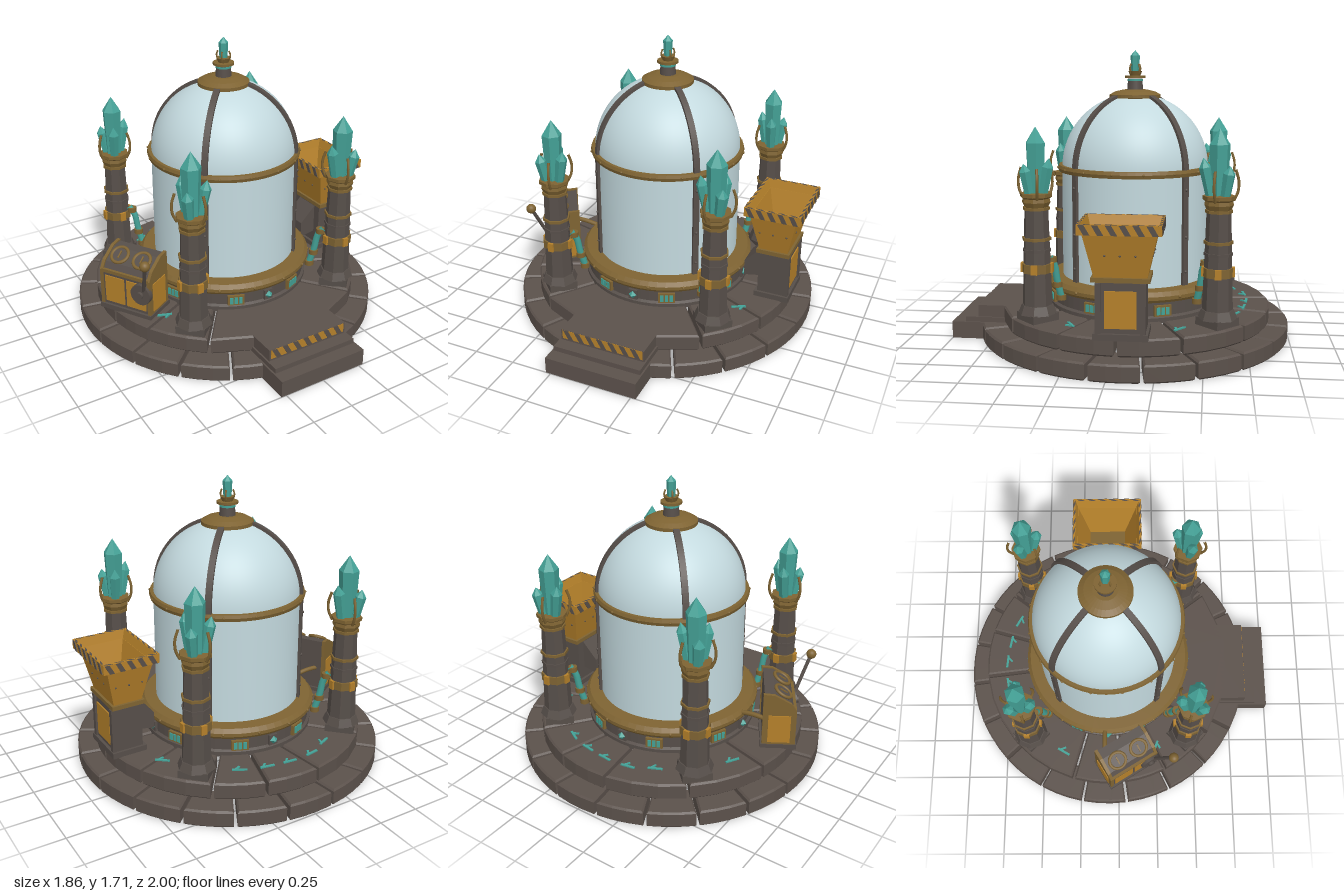
import * as THREE from 'three';

const V = (x, y, z) => new THREE.Vector3(x, y, z);
const mat = (name, color) => { const m = new THREE.MeshStandardMaterial({ color }); m.name = name; return m; };
const DEG = Math.PI / 180, CZ = -0.07;

export function createModel() {
  const stone = mat('stone', 0x5b514b), iron = mat('darkIron', 0x564e49), brass = mat('brass', 0x7e6332);
  const yellow = mat('yellowPaint', 0xb4802a), teal = mat('tealCrystal', 0x44a196), glass = mat('paleGlass', 0xc3d9de);
  stone.side = THREE.DoubleSide;

  const root = new THREE.Group();
  root.name = 'crystalChamber';
  const group = (name, parent, x = 0, y = 0, z = 0, ry = 0) => {
    const g = new THREE.Group();
    g.name = name; g.position.set(x, y, z); g.rotation.y = ry;
    parent.add(g);
    return g;
  };
  const add = (name, parent, geo, m, x = 0, y = 0, z = 0) => {
    const mesh = new THREE.Mesh(geo, m);
    mesh.name = name; mesh.position.set(x, y, z);
    parent.add(mesh);
    return mesh;
  };
  const flat = (g) => { const n = g.index ? g.toNonIndexed() : g; n.computeVertexNormals(); return n; };
  const box = (w, h, d) => new THREE.BoxGeometry(w, h, d);
  const cyl = (rt, rb, h, n = 24) => { const g = new THREE.CylinderGeometry(rt, rb, h, n); return n < 10 ? flat(g) : g; };
  const lathe = (pts, n = 64) => flat(new THREE.LatheGeometry(pts.map(p => new THREE.Vector2(...p)), n));
  const tube = (pts, r, n = 10) => new THREE.TubeGeometry(new THREE.CatmullRomCurve3(pts), n, r, 8);
  const crystal = (r, h) => lathe([[0, 0], [r * 0.8, 0], [r, h * 0.76], [0, h]], 6);
  const outline = (pts) => new THREE.Shape(pts.map(p => new THREE.Vector2(...p)));

  const center = group('chamber', root, 0, 0, CZ);
  // group placed around the chamber axis, its local +z pointing outwards
  const around = (name, a, r, y = 0) => group(name, center, r * Math.sin(a), y, r * Math.cos(a), a);

  // ---- Stone floor: two rings of bevelled slabs, open underneath; angles in degrees from the back
  const slab = (name, a0, a1, r0, r1, y, h) => {
    const pts = [], bev = 0.01, gap = 0.019, n = 3;
    for (const [r, dir] of [[r1 - bev, 1], [r0 + bev, -1]]) {
      const g = gap / r, s = a0 * DEG + g, e = a1 * DEG - g;
      for (let i = 0; i <= n; i++) {
        const t = dir > 0 ? i / n : 1 - i / n, a = s + (e - s) * t;
        pts.push([r * Math.sin(a), r * Math.cos(a)]);
      }
    }
    const g = new THREE.ExtrudeGeometry(outline(pts), { depth: h - 2 * bev, bevelSize: bev, bevelThickness: bev, bevelSegments: 1 });
    const p = g.attributes.position.array, kept = [];
    for (let i = 0; i < p.length; i += 9) {
      if (Math.max(p[i + 2], p[i + 5], p[i + 8]) > -bev + 1e-5) kept.push(...p.slice(i, i + 9));
    }
    const shell = new THREE.BufferGeometry();
    shell.setAttribute('position', new THREE.Float32BufferAttribute(kept, 3));
    add(name, center, flat(shell).rotateX(-Math.PI / 2), stone, 0, y + bev, 0);
  };
  for (let i = 0; i < 20; i++) slab('lowerSlab', -7.5 + 18 * i, 10.5 + 18 * i, 0.72, 0.928, 0, 0.1);
  const joints = [-7, 16, 37, 67, 92, 115, 143, 217, 243, 263, 286, 319, 353];
  joints.slice(0, -1).forEach((a, i) => slab('upperSlab', a, joints[i + 1], a === 217 ? 0.07 : 0.49, 0.815, 0.1, 0.1));

  // ---- Front steps with a striped warning plate
  add('upperLanding', root, box(0.52, 0.07, 0.3), stone, 0, 0.165, 0.695);
  add('middleStep', root, box(0.54, 0.06, 0.25), stone, 0, 0.1, 0.795);
  add('lowerStep', root, box(0.56, 0.1, 0.32), stone, 0, 0.05, 0.84);
  const stripes = (parent, w, h, n) => {
    const p = w / n, s = p * 0.45;
    for (let i = 0; i < n; i++) {
      const x = -w / 2 + i * p;
      const g = new THREE.ExtrudeGeometry(outline([[x + s, -h / 2], [x + 2 * s, -h / 2], [x + s, h / 2], [x, h / 2]]), { depth: 0.004, bevelEnabled: false });
      add('darkStripe', parent, g, iron);
    }
  };
  const sign = group('warningPlate', root, 0, 0.17, 0.845);
  add('plate', sign, box(0.5, 0.056, 0.004), yellow);
  stripes(group('plateStripes', sign), 0.49, 0.056, 7);

  // ---- Chamber base, glass and metal rings
  add('baseBand', center, lathe([[0.49, 0.19], [0.515, 0.19], [0.515, 0.22], [0.5, 0.23], [0.5, 0.33], [0.49, 0.33], [0.49, 0.19]]), iron);
  add('baseRing', center, lathe([[0.435, 0.31], [0.52, 0.31], [0.53, 0.325], [0.53, 0.345], [0.51, 0.368], [0.435, 0.372], [0.435, 0.31]]), brass);
  add('chamberFloor', center, cyl(0.436, 0.436, 0.02, 48), iron, 0, 0.345, 0);
  const wall = [[0.437, 0.36], [0.437, 1.015]];
  for (let i = 1; i <= 20; i++) { const a = i / 20 * Math.PI / 2; wall.push([0.437 * Math.cos(a), 1.015 + 0.437 * Math.sin(a)]); }
  add('glassDome', center, new THREE.LatheGeometry(wall.map(p => new THREE.Vector2(...p)), 64), glass);
  add('waistRing', center, lathe([[0.425, 0.995], [0.456, 0.995], [0.462, 1.015], [0.456, 1.033], [0.425, 1.033]]), brass);

  // curved ribs over the glass
  const rib = new THREE.Shape();
  rib.moveTo(0.427, 0.36); rib.lineTo(0.453, 0.36); rib.lineTo(0.453, 1.015);
  rib.absarc(0, 1.015, 0.453, 0, 1.3, false);
  rib.absarc(0, 1.015, 0.427, 1.3, 0, true);
  const ribGeo = new THREE.ExtrudeGeometry(rib, { depth: 0.036, bevelEnabled: false, curveSegments: 16 }).translate(0, 0, -0.018);
  for (let i = 0; i < 4; i++) {
    add('domeRib', center, ribGeo, iron).rotation.y = (45 + 90 * i) * DEG;
    for (const y of [0.45, 0.65, 0.92]) add('ribBolt', around('ribBolts', (45 + 90 * i) * DEG, 0.453, y), new THREE.SphereGeometry(0.009, 8, 6), iron);
  }
  // bolts, light panels and gems around the base
  for (let i = 0; i < 16; i++) {
    const a = (i + 0.5) * 22.5 * DEG;
    add('ringBolt', around('ringBolts', a, 0.528, 0.337), new THREE.SphereGeometry(0.01, 8, 6), brass);
    add('waistBolt', around('waistBolts', a, 0.46, 1.015), new THREE.SphereGeometry(0.008, 8, 6), brass);
  }
  for (let i = 0; i < 4; i++) {
    for (const s of [-1, 1]) {
      const p = around('lightPanel', (90 * i + 23 * s) * DEG, 0.5, 0.26);
      add('panelFrame', p, box(0.1, 0.062, 0.03), brass);
      for (const x of [-0.027, 0, 0.027]) add('light', p, box(0.02, 0.042, 0.008), teal, x, 0, 0.016);
    }
    const g = around('gemPlate', 90 * i * DEG, 0.5, 0.26);
    add('plate', g, box(0.055, 0.062, 0.03), iron);
    add('gem', g, flat(new THREE.OctahedronGeometry(0.025)), teal, 0, 0, 0.016);
  }

  // ---- Roof cap and finial
  add('roofCap', center, lathe([[0.13, 1.415], [0.152, 1.425], [0.152, 1.445], [0.12, 1.463], [0.07, 1.475], [0, 1.475]], 40), brass);
  add('finialStem', center, cyl(0.042, 0.048, 0.07), iron, 0, 1.505, 0);
  add('finialLight', center, cyl(0.046, 0.046, 0.012), teal, 0, 1.53, 0);
  add('finialCollar', center, cyl(0.062, 0.062, 0.014), brass, 0, 1.55, 0);
  add('finialCup', center, cyl(0.042, 0.03, 0.028), brass, 0, 1.57, 0);
  add('finialCrystal', center, crystal(0.028, 0.135), teal, 0, 1.57, 0);
  for (let i = 0; i < 4; i++) add('finialClaw', around('finialClaws', (45 + 90 * i) * DEG, 0), tube([V(0, 1.57, 0.035), V(0, 1.6, 0.041), V(0, 1.625, 0.032)], 0.005, 6), brass);

  // ---- Four crystal pillars
  for (let i = 0; i < 4; i++) {
    const p = around('crystalPillar', (45 + 90 * i) * DEG, 0.71);
    add('plinth', p, box(0.17, 0.05, 0.17), iron, 0, 0.22, 0);
    add('plinthStep', p, cyl(0.09, 0.11, 0.05, 8), iron, 0, 0.265, 0);
    add('shaft', p, cyl(0.066, 0.085, 0.58, 8), iron, 0, 0.57, 0);
    add('band', p, cyl(0.087, 0.087, 0.05, 8), brass, 0, 0.5, 0);
    for (const [y, r] of [[0.6, 0.08], [0.665, 0.082], [0.835, 0.076]]) add('ring', p, cyl(r, r, 0.016, 8), y < 0.65 ? iron : brass, 0, y, 0);
    add('capital', p, lathe([[0.066, 0.84], [0.08, 0.87], [0.076, 0.89], [0.09, 0.9], [0.09, 0.92], [0, 0.925]], 8), brass);
    for (let k = 0; k < 4; k++) add('bandClasp', group('clasp', p, 0, 0, 0, (k * 90 + 45) * DEG), box(0.035, 0.054, 0.016), yellow, 0, 0.5, 0.083);
    for (const a of [60, 180, 300]) {
      add('claw', group('clawMount', p, 0, 0, 0, a * DEG), tube([V(0, 0.89, 0.082), V(0, 0.94, 0.105), V(0, 1.0, 0.108), V(0, 1.06, 0.09)], 0.008, 8), brass);
    }
    add('mainCrystal', p, crystal(0.058, 0.37), teal, 0, 0.915, 0);
    // shorter shards lean outwards around the main crystal
    [[0, 0.18], [115, 0.21], [235, 0.22]].forEach(([a, h]) => {
      const c = group('sideCrystal', p, 0, 0, 0, a * DEG);
      add('shard', c, crystal(0.034, h), teal, 0, 0.91, 0.045).rotation.x = 0.2;
    });
    // feed tube linking pillar and base
    add('feedTube', p, tube([V(0, 0.55, -0.08), V(0, 0.5, -0.115), V(0, 0.4, -0.135), V(0, 0.29, -0.165)], 0.02), teal);
    for (const [y, z] of [[0.53, -0.1], [0.38, -0.138], [0.3, -0.162]]) add('tubeFitting', p, cyl(0.028, 0.028, 0.03, 12), brass, 0, y, z);
  }

  // ---- Feed hopper on the left side
  const hopper = group('hopper', root, 0.735, 0, CZ);
  const loft = (rows) => { // rows: [halfX, halfZ, y]
    const v = [], c = ([x, z, y]) => [[x, y, z], [x, y, -z], [-x, y, -z], [-x, y, z]];
    for (let i = 0; i + 1 < rows.length; i++) {
      const A = c(rows[i]), B = c(rows[i + 1]);
      for (let k = 0; k < 4; k++) { const n = (k + 1) % 4; v.push(A[k], A[n], B[n], A[k], B[n], B[k]); }
    }
    const g = new THREE.BufferGeometry();
    g.setAttribute('position', new THREE.Float32BufferAttribute(v.flat(), 3));
    g.computeVertexNormals();
    return g;
  };
  add('funnel', hopper, loft([[0.085, 0.14, 0.53], [0.138, 0.195, 0.77], [0.132, 0.188, 0.77], [0.07, 0.115, 0.54]]), yellow);
  add('funnelBottom', hopper, box(0.14, 0.006, 0.23), brass, 0, 0.539, 0);
  add('rim', hopper, loft([[0.132, 0.188, 0.765], [0.166, 0.218, 0.765], [0.166, 0.218, 0.82], [0.151, 0.203, 0.82], [0.132, 0.188, 0.765]]), yellow);
  for (let i = 0; i < 4; i++) {
    const side = i % 2, w = side ? 0.42 : 0.32, r = side ? 0.166 : 0.218;
    const g = group('rimSide', hopper, 0, 0, 0, i * 90 * DEG);
    stripes(group('rimStripes', g, 0, 0.792, r - 0.001), w, 0.053, side ? 6 : 5);
    const top = group('rimTopStripes', g, 0, 0.817, r - 0.008);
    top.rotation.x = -Math.PI / 2;
    stripes(top, w, 0.013, side ? 6 : 5);
    for (const x of [-0.08, 0, 0.08]) add('funnelBolt', g, new THREE.SphereGeometry(0.006, 8, 6), iron, x, 0.65, side ? 0.112 : 0.168);
  }
  add('neck', hopper, box(0.2, 0.025, 0.31), brass, 0, 0.518, 0);
  add('pedestal', hopper, box(0.175, 0.31, 0.26), iron, 0, 0.355, 0);
  add('pedestalFoot', hopper, box(0.21, 0.035, 0.29), iron, 0, 0.215, 0);
  for (const z of [-1, 1]) add('cornerPost', hopper, box(0.02, 0.28, 0.03), iron, 0.09, 0.36, z * 0.118);
  add('door', hopper, box(0.008, 0.2, 0.17), yellow, 0.091, 0.36, 0);
  const chute = new THREE.ExtrudeGeometry(outline([[-0.08, 0.5], [-0.19, 0.39], [-0.19, 0.29], [-0.08, 0.31]]), { depth: 0.16, bevelEnabled: false });
  add('chute', hopper, chute, iron, 0, 0, -0.08);

  // ---- Control console on the right side; local +z faces outwards
  const con = group('controlConsole', root, -0.685, 0, 0.045, Math.atan2(-0.855, 0.52));
  const profile = outline([[-0.09, 0.2], [0.09, 0.2], [0.09, 0.44], [0.06, 0.49], [-0.03, 0.545], [-0.09, 0.55]]);
  const body = (len) => new THREE.ExtrudeGeometry(profile, { depth: len, bevelEnabled: false }).translate(0, 0, -len / 2).rotateY(-Math.PI / 2);
  add('body', con, body(0.32), iron);
  add('foot', con, box(0.35, 0.03, 0.21), iron, 0, 0.21, 0);
  for (const s of [-1, 1]) {
    const cheek = add('brassCheek', con, body(0.02), brass, s * 0.16, 0.008, 0);
    cheek.scale.z = 1.08;
    add('sidePanel', con, box(0.008, 0.18, 0.13), yellow, s * 0.171, 0.33, 0);
    add('frontPanel', con, box(0.13, 0.17, 0.008), yellow, s * 0.073, 0.33, 0.092);
    // round gauges on the sloping top
    const gauge = group('gauge', con, s * 0.075, 0.524, 0.018);
    gauge.rotation.x = 0.55;
    add('gaugeFace', gauge, cyl(0.05, 0.05, 0.015), iron);
    add('gaugeRim', gauge, new THREE.TorusGeometry(0.052, 0.01, 8, 24).rotateX(Math.PI / 2), brass, 0, 0.005, 0);
    add('gaugeNeedle', gauge, box(0.008, 0.006, 0.05), brass, 0, 0.01, 0);
  }
  add('topTrim', con, box(0.32, 0.02, 0.02), brass, 0, 0.445, 0.088);
  // lever
  add('leverWheel', con, cyl(0.065, 0.065, 0.03).rotateX(Math.PI / 2), iron, 0.115, 0.36, 0.1);
  add('leverHub', con, cyl(0.022, 0.022, 0.05).rotateX(Math.PI / 2), iron, 0.115, 0.36, 0.105);
  const rod = [V(-0.70, 0.36, 0.2), V(-0.722, 0.49, 0.265), V(-0.745, 0.62, 0.33)];
  add('leverRod', root, tube(rod, 0.011), iron);
  add('leverKnob', root, new THREE.SphereGeometry(0.03, 16, 12), brass, -0.745, 0.62, 0.33);
  add('consolePipe', root, tube([V(-0.68, 0.36, -0.09), V(-0.6, 0.36, -0.09), V(-0.5, 0.345, -0.09)], 0.014), brass);

  // ---- Small crystal shards lying on the floor
  [[-0.3, -0.67, 25], [-0.16, -0.74, 10], [0, -0.75, -5], [0.14, -0.73, -10], [0.29, -0.68, -30],
    [0.61, -0.37, -40], [-0.62, -0.36, 60], [-0.59, 0.24, -20], [0.59, 0.23, 30]].forEach(([x, z, a]) => {
    const g = group('floorShards', root, x, 0.203, z, a * DEG);
    add('shard', g, box(0.085, 0.008, 0.014), teal);
    add('shardBranch', g, box(0.045, 0.008, 0.012), teal, 0.015, 0, 0.014).rotation.y = 0.9;
  });

  return root;
}
